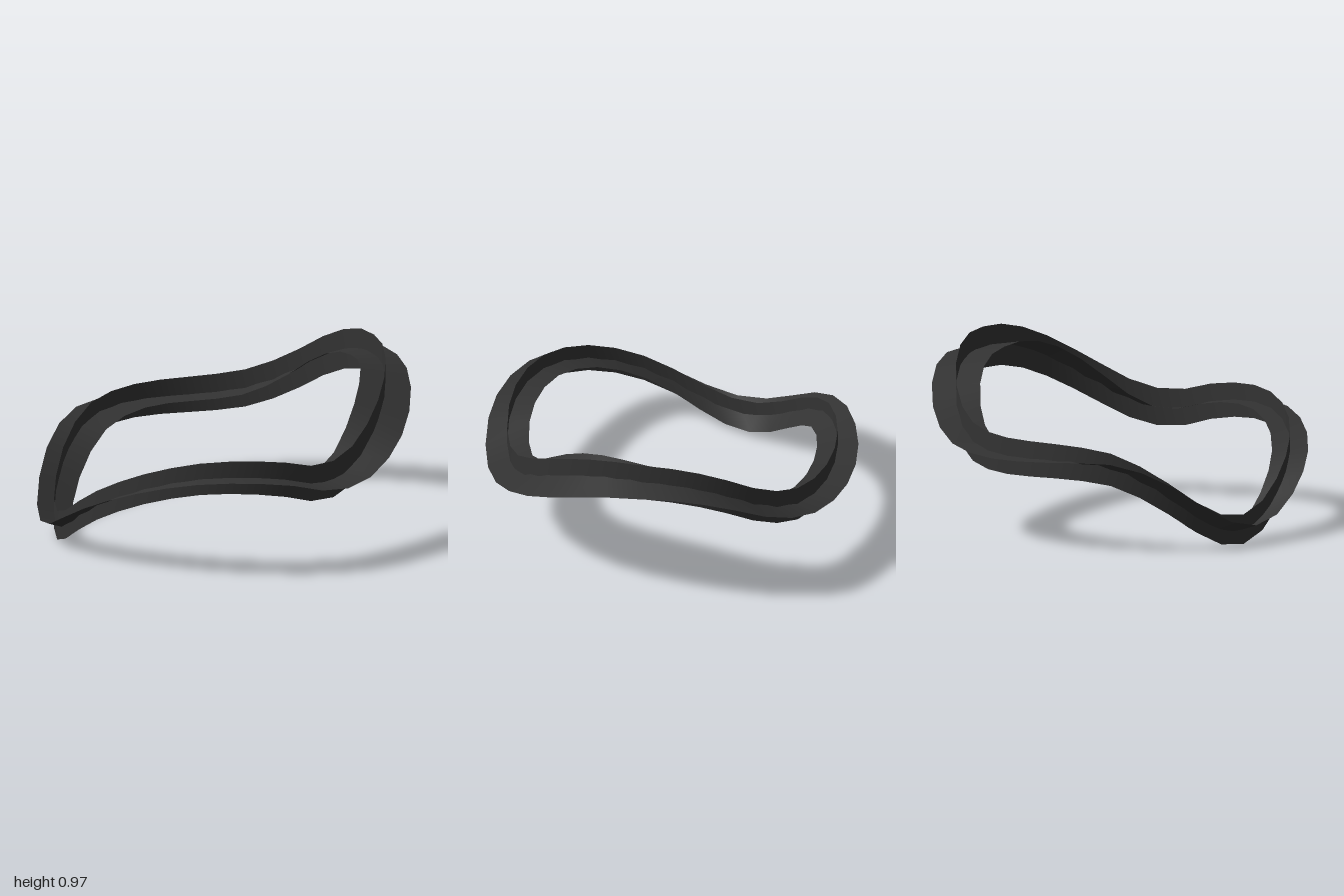
import * as THREE from 'three';

// Height of the ring's centre line, one value every 15 degrees from +x towards +z
const HEIGHTS = [
  0.75, 0.845, 0.868, 0.85, 0.77, 0.65, 0.525, 0.475, 0.53, 0.562, 0.555, 0.5,
  0.405, 0.28, 0.135, 0.08, 0.18, 0.34, 0.45, 0.48, 0.483, 0.485, 0.515, 0.61,
];
const SEGMENTS = 36;

const wave = (angle, phase) => Math.cos(angle - THREE.MathUtils.degToRad(phase));

// Smooth periodic lookup of the centre line height
function heightAt(angle) {
  const n = HEIGHTS.length;
  const t = (angle / (Math.PI * 2)) * n;
  const i = Math.floor(t), f = t - i;
  const [a, b, c, d] = [-1, 0, 1, 2].map((k) => HEIGHTS[(i + k + n) % n]);
  return b + 0.5 * f * (c - a + f * (2 * a - 5 * b + 4 * c - d + f * (3 * (b - c) + d - a)));
}

// Closed ribbon; offset(angle) gives the half extent [radial, vertical] about the centre line
function ribbon(name, offset, material) {
  const positions = [], index = [];
  for (let i = 0; i < SEGMENTS; i++) {
    const angle = (i / SEGMENTS) * Math.PI * 2;
    const radius = 0.88 + 0.006 * Math.cos(2 * angle) - 0.018 * wave(angle, 25);
    const y = heightAt(angle);
    const [dr, dy] = offset(angle);
    for (const s of [-1, 1]) {
      const r = radius + s * dr;
      positions.push(r * Math.cos(angle), y + s * dy, r * Math.sin(angle));
    }
    const a = i * 2, b = ((i + 1) % SEGMENTS) * 2;
    index.push(a, b, a + 1, a + 1, b, b + 1);
  }
  const geometry = new THREE.BufferGeometry();
  geometry.setAttribute('position', new THREE.Float32BufferAttribute(positions, 3));
  geometry.setIndex(index);
  geometry.computeVertexNormals();
  const mesh = new THREE.Mesh(geometry, material);
  mesh.name = name;
  return mesh;
}

export function createModel() {
  const group = new THREE.Group();
  group.name = 'wavyRing';
  const material = new THREE.MeshStandardMaterial({ color: 0x333333, side: THREE.DoubleSide });

  // Two thin bands crossing at their middles form a plus-shaped section
  group.add(ribbon('uprightBand', (a) => [0, 0.095 + 0.016 * wave(a, 30)], material));

  // The flat band widens and tips outwards on the front slope, and the reverse at the back
  group.add(ribbon('flatBand', (a) => {
    const tip = wave(a, 68) ** 7;
    return [0.112 + 0.018 * wave(a, 25) + 0.008 * tip, -0.075 * tip];
  }, material));
  return group;
}
